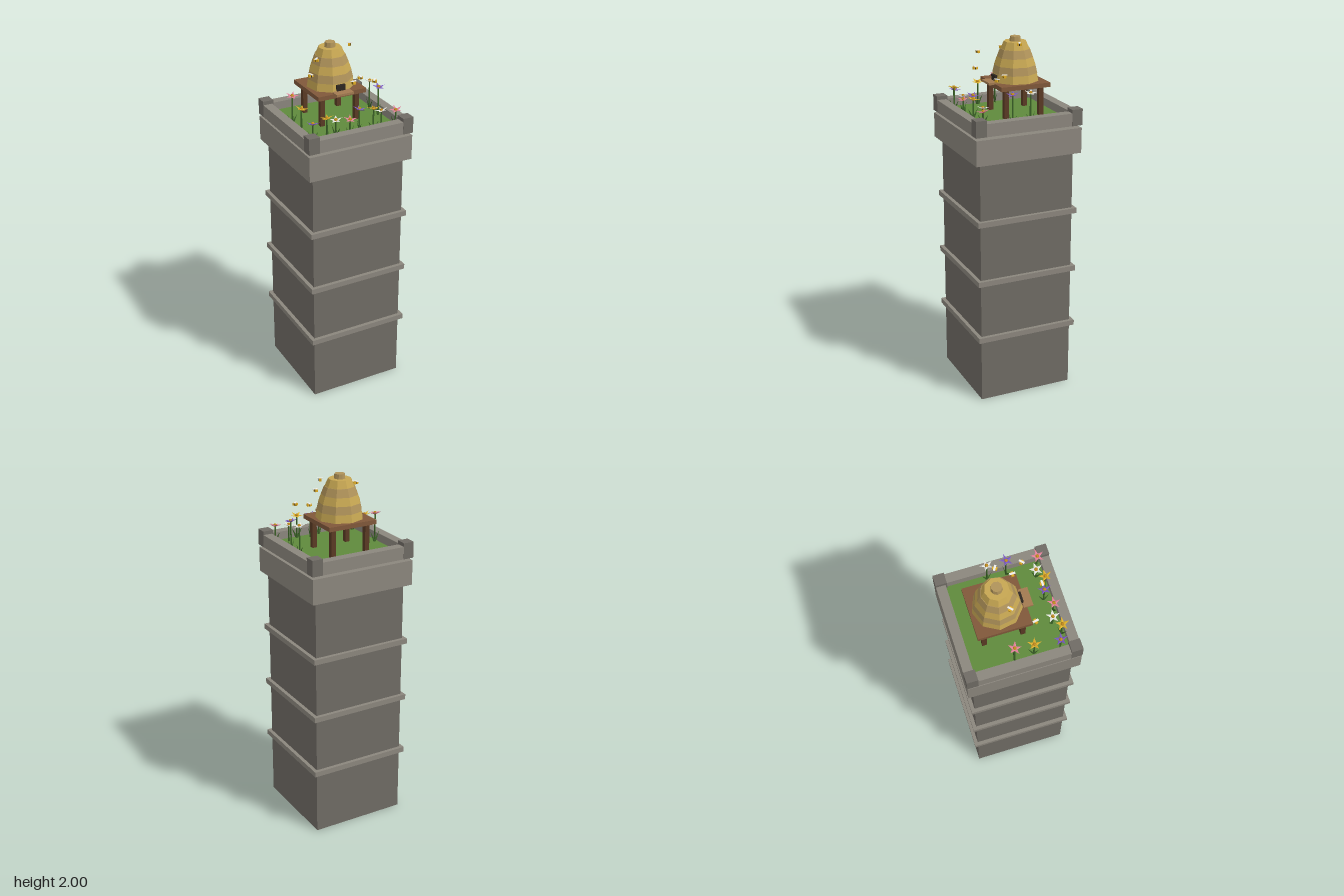
import * as THREE from 'three';

const mat = (color, side = THREE.FrontSide) => new THREE.MeshStandardMaterial({ color, flatShading: true, side });
const M = {
  stone: mat(0x6f6b64), trim: mat(0x8b867d), grass: mat(0x5f8a3c),
  wood: mat(0x80583a), darkWood: mat(0x5a3a24), board: mat(0xa27a50),
  straw: mat(0xc6a652), paleStraw: mat(0xb0935a), dark: mat(0x2e2620),
  stem: mat(0x3c6428), heart: mat(0xc08a1e), bee: mat(0xe0ac24), wing: mat(0xeeeeea),
  pink: mat(0xe07f98), yellow: mat(0xdcb02c), purple: mat(0x7a58c0), white: mat(0xe2e4de),
};

function add(parent, name, geometry, material, x = 0, y = 0, z = 0) {
  const mesh = new THREE.Mesh(geometry, material);
  mesh.name = name;
  mesh.position.set(x, y, z);
  parent.add(mesh);
  return mesh;
}

// Box given by its size, its underside height and its centre in plan
const box = (parent, name, material, w, h, d, x, y, z) =>
  add(parent, name, new THREE.BoxGeometry(w, h, d), material, x, y + h / 2, z);

function group(parent, name) {
  const g = new THREE.Group();
  g.name = name;
  parent.add(g);
  return g;
}

const GROUND = 1.58;

function buildTower(root) {
  const tower = group(root, 'tower');
  box(tower, 'shaft', M.stone, 0.545, 1.4, 0.545, 0, 0, 0);
  for (const y of [0.365, 0.705, 1.05]) box(tower, 'band', M.trim, 0.586, 0.03, 0.586, 0, y, 0);
  box(tower, 'cap', M.trim, 0.612, 0.14, 0.612, 0, 1.4, 0);
  box(tower, 'lawn', M.grass, 0.512, GROUND - 1.556, 0.512, 0, 1.556, 0);

  // Parapet walls and raised corner posts
  for (const s of [-1, 1]) {
    box(tower, 'parapetWall', M.trim, 0.5, 0.07, 0.052, 0, 1.555, s * 0.281);
    box(tower, 'parapetSideWall', M.trim, 0.052, 0.07, 0.5, s * 0.281, 1.555, 0);
    for (const t of [-1, 1]) box(tower, 'cornerPost', M.stone, 0.061, 0.09, 0.061, s * 0.2775, 1.555, t * 0.2775);
  }
}

function buildHive(root) {
  const hive = group(root, 'beehive');
  hive.position.z = -0.053;

  // Stand
  box(hive, 'standTop', M.wood, 0.286, 0.024, 0.286, 0, 1.738, 0);
  for (const x of [-0.103, 0.103])
    for (const z of [-0.103, 0.103]) box(hive, 'standLeg', M.darkWood, 0.026, 1.738 - GROUND, 0.026, x, GROUND, z);
  box(hive, 'landingBoard', M.board, 0.102, 0.012, 0.05, 0, 1.757, 0.15);

  // Stacked straw coils: bottom radius, top radius, height
  const tiers = [
    [0.13, 0.122, 0.043], [0.124, 0.114, 0.043], [0.115, 0.1, 0.043],
    [0.1, 0.083, 0.043], [0.08, 0.062, 0.04], [0.031, 0.028, 0.026],
  ];
  let y = 1.762;
  tiers.forEach(([r0, r1, h], i) => {
    add(hive, 'strawCoil', new THREE.CylinderGeometry(r1, r0, h, 9, 1, false, Math.PI),
      i % 2 ? M.paleStraw : M.straw, 0, y + h / 2, 0);
    y += h;
  });
  box(hive, 'entrance', M.dark, 0.05, 0.034, 0.03, 0, 1.766, 0.115);
}

// Petal: a flat ridged spike rising outward from the flower centre
const petal = new THREE.ConeGeometry(0.0125, 0.039, 4)
  .translate(0, 0.0195, 0).rotateX(Math.PI / 2).scale(1, 0.4, 1).rotateX(-0.25);

function buildFlower(parent, color, x, top, z, i) {
  const flower = group(parent, 'flower');
  flower.position.set(x, GROUND, z);
  flower.rotation.y = i * 1.3;
  const h = top - GROUND;
  add(flower, 'stem', new THREE.CylinderGeometry(0.004, 0.005, h, 5), M.stem, 0, h / 2, 0);

  // Narrow leaves at the foot
  for (const s of [-1, 1]) {
    const leaf = add(flower, 'leaf', new THREE.ConeGeometry(0.008, 0.065, 4).translate(0, 0.0325, 0).scale(1, 1, 0.4), M.stem);
    leaf.rotation.z = s * 0.45;
  }

  const bloom = group(flower, 'bloom');
  bloom.position.y = h;
  bloom.rotation.x = 0.2;
  for (let k = 0; k < 5; k++) add(bloom, 'petal', petal, M[color]).rotation.y = k * Math.PI * 0.4;
  add(bloom, 'flowerCentre', new THREE.IcosahedronGeometry(0.011, 0), M.heart, 0, 0.004, 0);
}

function buildBee(parent, x, y, z, turn) {
  const bee = group(parent, 'bee');
  bee.position.set(x, y, z);
  bee.rotation.y = turn;
  add(bee, 'body', new THREE.BoxGeometry(0.014, 0.013, 0.025), M.bee);
  add(bee, 'stripe', new THREE.BoxGeometry(0.015, 0.014, 0.005), M.dark);
  add(bee, 'wings', new THREE.BoxGeometry(0.031, 0.003, 0.011), M.wing, 0, 0.0085, 0);
}

export function createModel() {
  const root = new THREE.Group();
  root.name = 'rooftopBeehive';
  buildTower(root);
  buildHive(root);

  const garden = group(root, 'flowers');
  [
    ['pink', -0.235, 1.74, -0.035], ['yellow', -0.233, 1.705, 0.07],
    ['purple', -0.237, 1.675, 0.21], ['yellow', -0.17, 1.705, 0.238],
    ['white', -0.103, 1.67, 0.21], ['pink', -0.035, 1.67, 0.238],
    ['purple', 0.035, 1.705, 0.21], ['yellow', 0.105, 1.705, 0.238],
    ['white', 0.17, 1.67, 0.21], ['pink', 0.24, 1.67, 0.238],
    ['purple', 0.232, 1.74, 0.067], ['white', 0.235, 1.74, -0.035],
  ].forEach(([color, x, top, z], i) => buildFlower(garden, color, x, top, z, i));

  const swarm = group(root, 'bees');
  for (const b of [
    [-0.1, 1.925, -0.015, 0.75], [0.105, 1.975, -0.03, -0.5], [0.12, 1.815, 0.065, 1.57],
    [0.17, 1.81, 0.13, 0.75], [0.012, 1.85, 0.186, 0], [-0.185, 1.89, 0.087, 1.8],
  ]) buildBee(swarm, ...b);

  return root;
}
